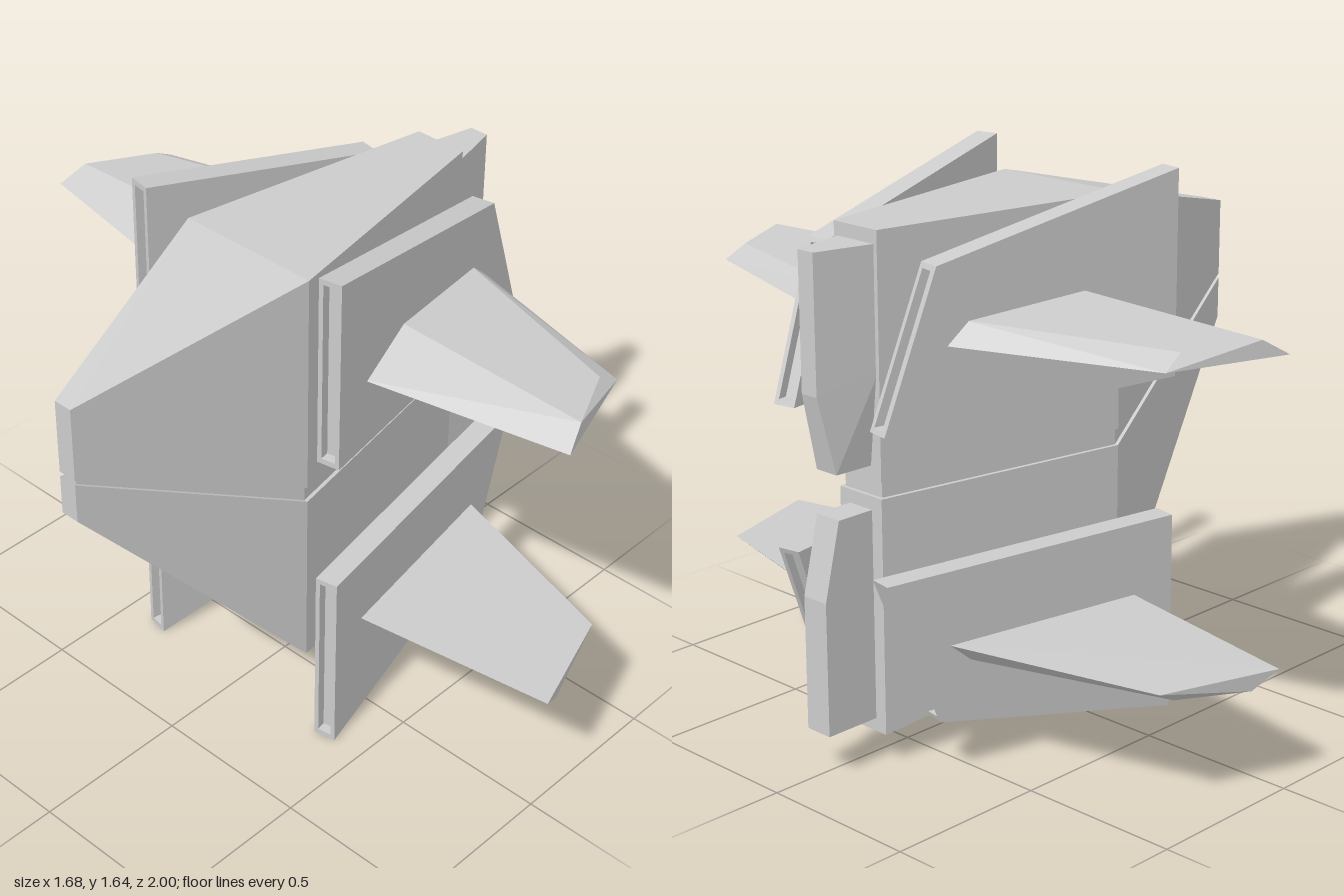
import * as THREE from 'three';
import { ConvexGeometry } from 'three/addons/geometries/ConvexGeometry.js';

const material = new THREE.MeshStandardMaterial({ color: 0xcccccc, flatShading: true });
const TOP = 1.645;    // overall height, used to mirror upper parts downward
const TILT = 0.177;   // plates converge toward the rear

function add(parent, name, geometry) {
  const mesh = new THREE.Mesh(geometry, material);
  mesh.name = name;
  parent.add(mesh);
  return mesh;
}

const convex = (points) => new ConvexGeometry(points.map((p) => new THREE.Vector3(...p)));

// Rectangular loft along x; each station is [x, halfWidth, bottom, top]
function loft(stations) {
  const rings = stations.map(([x, w, y0, y1]) => [[x, y0, -w], [x, y0, w], [x, y1, w], [x, y1, -w]]);
  const pos = [];
  const quad = (a, b, c, d) => pos.push(...a, ...b, ...c, ...a, ...c, ...d);
  for (let i = 0; i < rings.length - 1; i++) {
    for (let j = 0; j < 4; j++) {
      const k = (j + 1) % 4;
      quad(rings[i][j], rings[i + 1][j], rings[i + 1][k], rings[i][k]);
    }
  }
  const last = rings[rings.length - 1];
  quad(...rings[0]);
  quad(last[3], last[2], last[1], last[0]);
  const g = new THREE.BufferGeometry();
  g.setAttribute('position', new THREE.Float32BufferAttribute(pos, 3));
  g.computeVertexNormals();
  return g;
}

// Flat slab from an outline in x and y, between two z values
function slab(outline, z0, z1) {
  const shape = new THREE.Shape(outline.map(([x, y]) => new THREE.Vector2(x, y)));
  const g = new THREE.ExtrudeGeometry(shape, { depth: z1 - z0, bevelEnabled: false });
  return g.translate(0, 0, z0);
}

function createPod(upper, side) {
  const pod = new THREE.Group();
  pod.name = (upper ? 'upper' : 'lower') + (side > 0 ? 'Front' : 'Back') + 'Pod';
  const fy = (y) => (upper ? y : TOP - y);
  const flip = (pts) => pts.map(([x, y]) => [x, fy(y)]);

  // Plate: two skins around a core with recessed slots in both ends
  const plate = new THREE.Group();
  plate.name = 'plate';
  const skin = flip([[0, 1.035], [0.995, 1.035], [0.823, 1.48], [0, 1.645]]);
  const core = flip([
    [0, 1.035], [0.995, 1.035], [0.989, 1.05], [0.959, 1.05], [0.799, 1.465], [0.829, 1.465],
    [0.823, 1.48], [0, 1.645], [0, 1.628], [0.03, 1.628], [0.03, 1.052], [0, 1.052],
  ]);
  add(plate, 'outerSkin', slab(skin, 0.022, 0.036));
  add(plate, 'innerSkin', slab(skin, -0.036, -0.022));
  add(plate, 'plateCore', slab(core, -0.022, 0.022));
  plate.position.set(-0.21, 0, 0.365 * side);
  plate.rotation.y = TILT * side;
  pod.add(plate);

  // Wing: wedge section at the root, thinner at the swept tip
  const root = [[-0.07, 1.255], [0.12, 1.34], [0.51, 1.315], [0.58, 1.255]]
    .map(([x, y]) => [x, y, 0.345 - 0.179 * x]);
  const tip = [[0.04, 1.27, 1.0], [0.12, 1.32, 0.97], [0.33, 1.31, 0.87], [0.4, 1.27, 0.88]];
  add(pod, 'wing', convex([...root, ...tip].map(([x, y, z]) => [x, fy(y), z * side])));

  // Strut joining the plate to the hull
  const strut = add(pod, 'strut', new THREE.BoxGeometry(0.53, 0.17, 0.14));
  strut.position.set(0.265, fy(1.328), 0.22 * side);
  strut.rotation.y = TILT * side;
  return pod;
}

export function createModel() {
  const model = new THREE.Group();
  model.name = 'spacecraft';

  // Hull halves with a recessed seam between them
  add(model, 'upperHull', loft([[-0.845, 0.03, 1.16, 1.395], [-0.15, 0.232, 0.85, 1.56], [0.662, 0.085, 0.85, 1.56]]));
  add(model, 'lowerHull', loft([[-0.845, 0.03, 1.02, 1.145], [-0.15, 0.232, 0.215, 0.8], [0.662, 0.085, 0.09, 0.8]]));
  add(model, 'hullSeam', loft([[-0.835, 0.022, 1.12, 1.18], [-0.15, 0.22, 0.78, 0.87], [0.65, 0.075, 0.78, 0.87]]));

  // Rear blocks: the upper one tapers rearward, the lower one has straight sides
  const upperBlock = [[0.65, 1.52, 0.075], [0.65, 1.17, 0.075], [0.65, 0.89, 0.045],
    [0.785, 0.89, 0.04], [0.84, 1.12, 0.03], [0.84, 1.52, 0.03]];
  add(model, 'upperRearBlock', convex(upperBlock.flatMap(([x, y, w]) => [[x, y, w], [x, y, -w]])));
  add(model, 'lowerRearBlock',
    slab([[0.65, 0.13], [0.84, 0.13], [0.84, 0.53], [0.785, 0.76], [0.65, 0.76]], -0.045, 0.045));

  // Four pods, mirrored up/down and front/back
  for (const upper of [true, false]) {
    for (const side of [1, -1]) model.add(createPod(upper, side));
  }
  return model;
}
